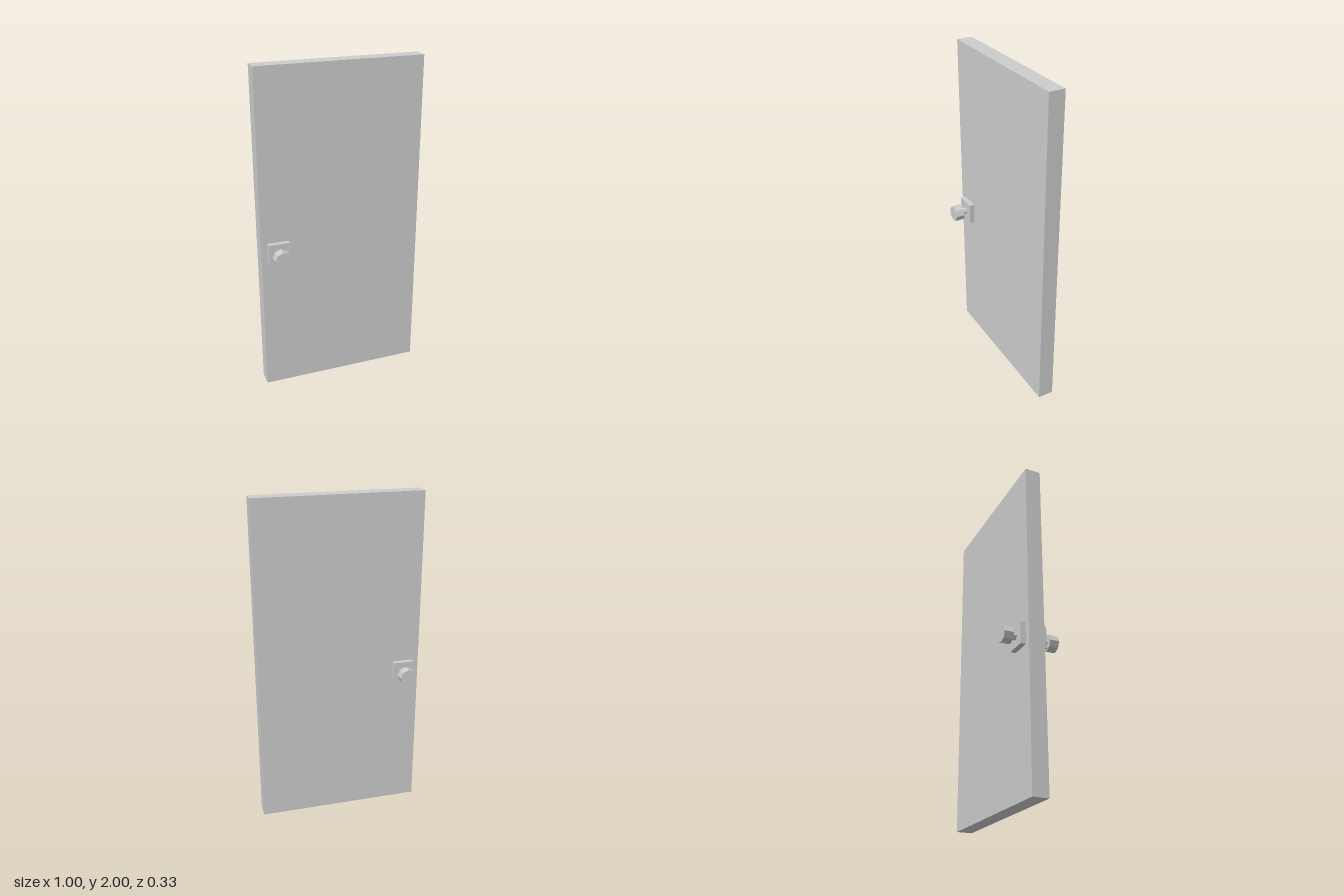
import * as THREE from 'three';

export function createModel() {
  const model = new THREE.Group();
  const grey = new THREE.MeshStandardMaterial({ color: 0xcccccc });
  grey.name = 'grey';
  grey.flatShading = true;

  const add = (parent, name, geometry, x, y, z) => {
    const mesh = new THREE.Mesh(geometry, grey);
    mesh.name = name;
    mesh.position.set(x, y, z);
    parent.add(mesh);
  };

  // Eight-sided rod along z, with a corner pointing straight up
  const rod = (radius, length) =>
    new THREE.CylinderGeometry(radius, radius, length, 8).rotateX(Math.PI / 2);

  // Door slab
  add(model, 'doorPanel', new THREE.BoxGeometry(1, 2, 0.096), 0, 1, 0);

  // Matching handle on the front and the back
  for (const side of [1, -1]) {
    const handle = new THREE.Group();
    handle.name = side > 0 ? 'frontHandle' : 'backHandle';
    handle.position.set(-0.398, 0.904, 0);
    add(handle, 'backPlate', new THREE.BoxGeometry(0.128, 0.132, 0.032), 0, 0, side * 0.064);
    add(handle, 'stem', rod(0.021, 0.032), 0, 0, side * 0.096);
    add(handle, 'knob', rod(0.05, 0.056), 0, 0, side * 0.139);
    model.add(handle);
  }
  return model;
}
